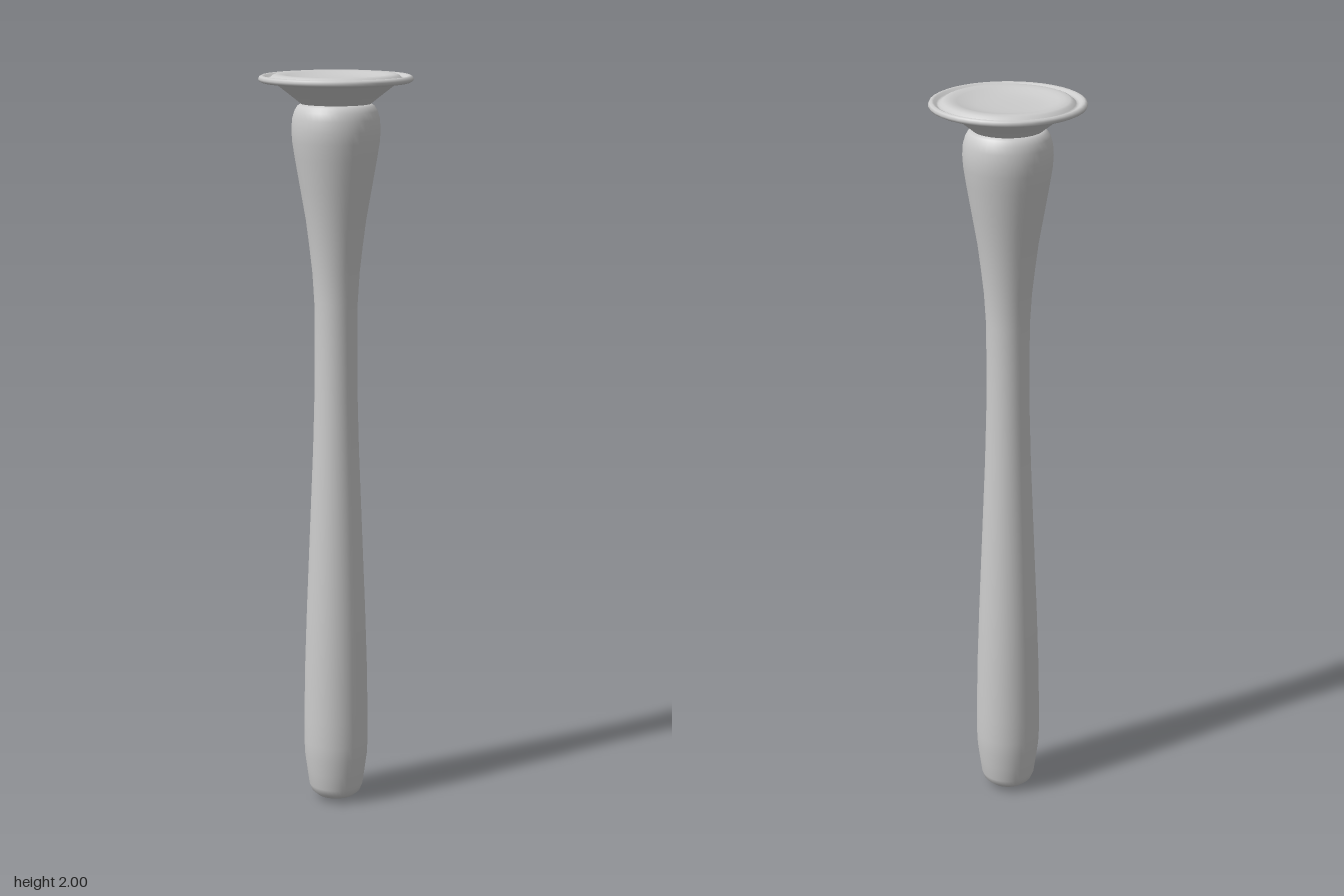
import * as THREE from 'three';

const material = new THREE.MeshStandardMaterial({ color: 0xcccccc });

// Turned part from [radius, height] points, running up the outside and in over the top
function turned(name, points) {
  const profile = points.map(([r, y]) => new THREE.Vector2(r, y));
  const mesh = new THREE.Mesh(new THREE.LatheGeometry(profile, 40), material);
  mesh.name = name;
  return mesh;
}

export function createModel() {
  const group = new THREE.Group();
  group.name = 'muddler';

  // Slender handle: tapered foot, narrow waist, swelling shoulder
  group.add(turned('handle', [
    [0, 0], [0.03, 0.004], [0.053, 0.012], [0.067, 0.024], [0.074, 0.042],
    [0.08, 0.085], [0.086, 0.13], [0.088, 0.17], [0.088, 0.24], [0.085, 0.4],
    [0.08, 0.55], [0.074, 0.7], [0.068, 0.85], [0.062, 1.0], [0.058, 1.15],
    [0.057, 1.28], [0.058, 1.4], [0.063, 1.48], [0.071, 1.55], [0.08, 1.62],
    [0.094, 1.7], [0.108, 1.78], [0.115, 1.825], [0.117, 1.855], [0.115, 1.885],
    [0.109, 1.905], [0.101, 1.918], [0.09, 1.925], [0, 1.926],
  ]));

  // Flared dish: rolled rim, narrow groove, raised ring and hollow centre
  group.add(turned('dish', [
    [0.088, 1.92], [0.096, 1.927], [0.125, 1.95], [0.155, 1.973], [0.166, 1.979],
    [0.194, 1.979], [0.2, 1.982], [0.203, 1.988], [0.2, 1.994], [0.194, 1.997],
    [0.188, 1.995], [0.182, 1.99], [0.177, 1.988], [0.172, 1.991], [0.166, 1.997],
    [0.158, 2.0], [0.145, 2.0], [0.13, 1.997], [0.11, 1.991], [0.08, 1.987],
    [0.04, 1.985], [0, 1.985],
  ]));

  return group;
}
